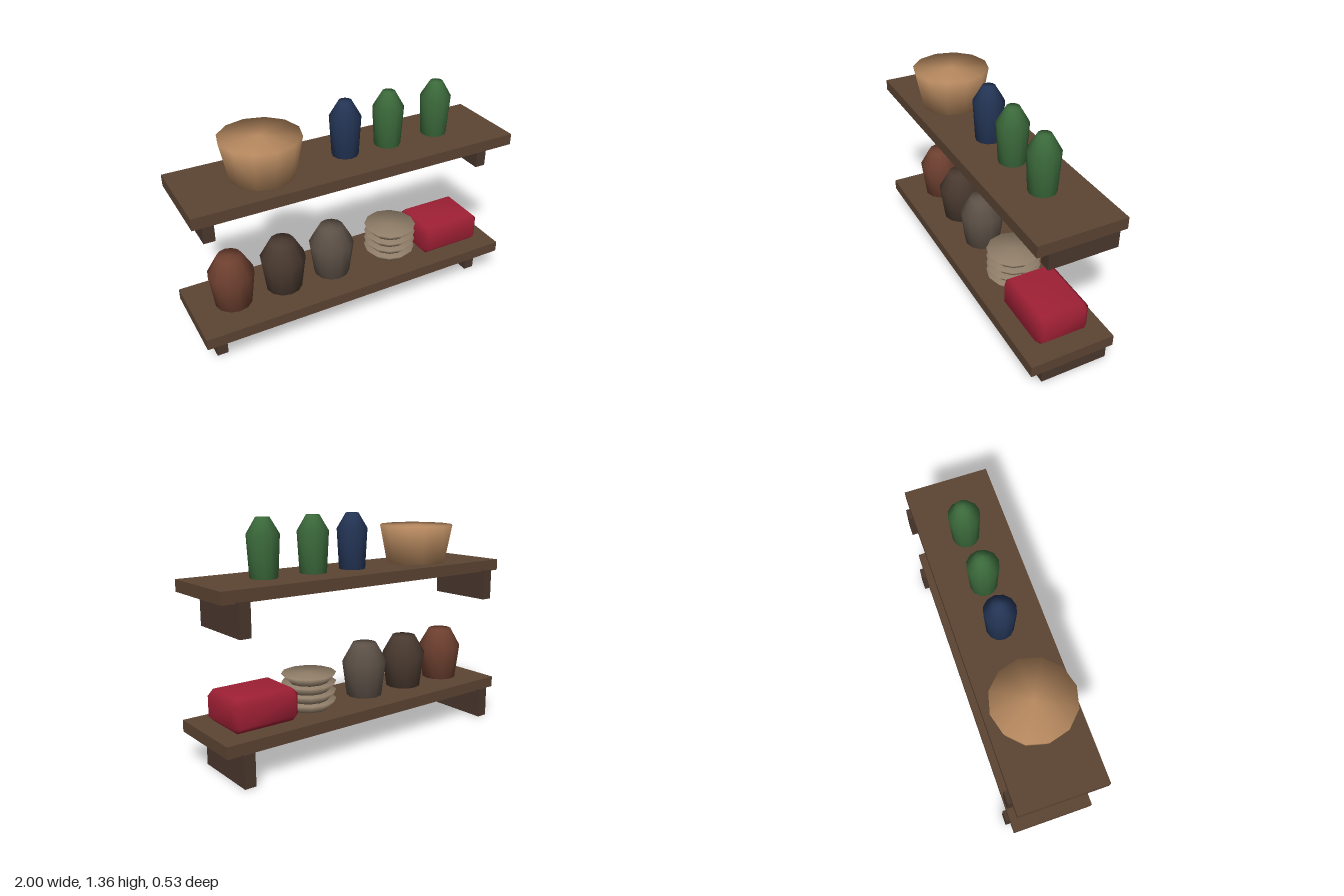
import * as THREE from 'three';
import { mergeVertices } from 'three/addons/utils/BufferGeometryUtils.js';
import { ConvexGeometry } from 'three/addons/geometries/ConvexGeometry.js';

const SIDES = 12;
const Z = 0.01; // depth line on which the crockery stands

// Weld corners so the low-poly shapes are shaded softly
function soften(geometry) {
  geometry.deleteAttribute('normal');
  geometry.deleteAttribute('uv');
  const welded = mergeVertices(geometry, 1e-4);
  welded.computeVertexNormals();
  return welded;
}

function addMesh(parent, name, geometry, color, x, y, z) {
  const mesh = new THREE.Mesh(geometry, new THREE.MeshStandardMaterial({ color }));
  mesh.name = name;
  mesh.position.set(x, y, z);
  parent.add(mesh);
  return mesh;
}

// Closed turned shape from [radius, height] pairs
function turned(profile) {
  const last = profile[profile.length - 1];
  const points = [[0, profile[0][1]], ...profile, [0, last[1]]];
  return soften(new THREE.LatheGeometry(points.map(([r, y]) => new THREE.Vector2(r, y)), SIDES));
}

// Box with every edge chamfered
function chamferedBox(w, h, d, c) {
  const points = [];
  for (const sx of [-1, 1]) for (const sy of [-1, 1]) for (const sz of [-1, 1]) {
    const [x, y, z] = [w / 2, h / 2, d / 2];
    points.push(
      new THREE.Vector3(sx * x, sy * (y - c), sz * (z - c)),
      new THREE.Vector3(sx * (x - c), sy * y, sz * (z - c)),
      new THREE.Vector3(sx * (x - c), sy * (y - c), sz * z));
  }
  return soften(new ConvexGeometry(points));
}

// Board on two brackets that reach just behind its back edge
function addShelf(parent, name, y) {
  const shelf = new THREE.Group();
  shelf.name = name;
  shelf.position.y = y;
  addMesh(shelf, 'board', new THREE.BoxGeometry(2, 0.068, 0.51), 0x5c4433, 0, 0.211, 0.012);
  for (const side of [-1, 1]) {
    addMesh(shelf, side > 0 ? 'leftBracket' : 'rightBracket',
      new THREE.BoxGeometry(0.067, 0.187, 0.417), 0x4a382d, side * 0.885, 0.0935, -0.058);
  }
  parent.add(shelf);
}

export function createModel() {
  const model = new THREE.Group();
  model.name = 'wallShelves';
  const lowerTop = 0.245;
  const upperTop = 1.037;
  addShelf(model, 'lowerShelf', 0);
  addShelf(model, 'upperShelf', 0.792);

  // Upper shelf: bowl and three small jars
  addMesh(model, 'bowl', turned([[0.185, 0], [0.231, 0.233]]), 0xb88a60, -0.513, upperTop, Z);
  const smallJar = turned([[0.078, 0], [0.091, 0.236], [0.038, 0.326]]);
  [[0, 0x243556], [0.28, 0x3c6b3c], [0.605, 0x3c6b3c]].forEach(([x, color], i) =>
    addMesh(model, `smallJar${i + 1}`, smallJar, color, x, upperTop, Z));

  // Lower shelf: three large jars
  const largeJar = turned([[0.11, 0], [0.137, 0.213], [0.073, 0.327]]);
  [[-0.745, 0x6e4030], [-0.42, 0x4a3a30], [-0.095, 0x5d5147]].forEach(([x, color], i) =>
    addMesh(model, `largeJar${i + 1}`, largeJar, color, x, lowerTop, Z));

  // Stack of flared plates
  const plate = turned([[0.112, 0], [0.161, 0.053]]);
  const plates = new THREE.Group();
  plates.name = 'plateStack';
  for (let i = 0; i < 4; i++) addMesh(plates, `plate${i + 1}`, plate, 0x8f7d68, 0.322, lowerTop + i * 0.0527, Z);
  model.add(plates);

  // Red storage tin
  addMesh(model, 'tin', chamferedBox(0.417, 0.188, 0.325, 0.034), 0xa02035, 0.695, lowerTop + 0.094, 0.0125);
  return model;
}
